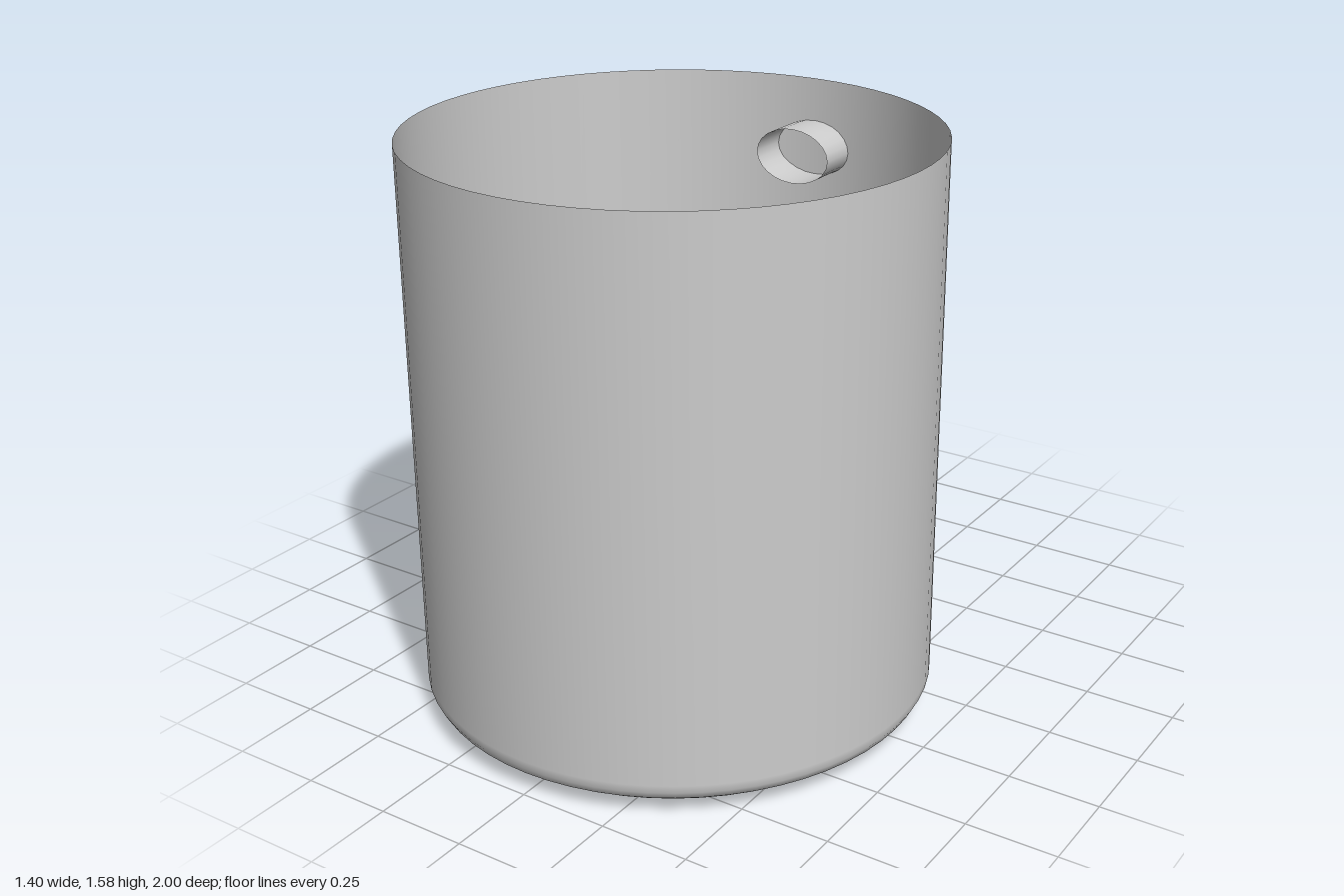
import * as THREE from 'three';

export function createModel() {
  const group = new THREE.Group();
  const ceramic = new THREE.MeshStandardMaterial({ color: 0xcccccc, side: THREE.DoubleSide });
  ceramic.name = 'greyCeramic';

  // Thin-walled cup with a softly rounded foot
  const profile = [
    [0, 0], [0.4, 0], [0.5, 0.003], [0.57, 0.011], [0.62, 0.022], [0.66, 0.038],
    [0.688, 0.058], [0.7, 0.08], [0.7, 0.1], [0.7, 1.58],
  ].map(([r, y]) => new THREE.Vector2(r, y));
  const cup = new THREE.Mesh(new THREE.LatheGeometry(profile, 64), ceramic);
  cup.name = 'cup';
  cup.position.z = 0.3;
  group.add(cup);

  // Handle path: a half circle whose straight ends run through the wall
  const radius = 0.5375, centreY = 0.845, centreZ = -0.385, endZ = -0.275;
  const path = [new THREE.Vector3(0, centreY + radius, endZ)];
  const steps = 16;
  for (let i = 0; i <= steps; i++) {
    const a = (i / steps) * Math.PI;
    path.push(new THREE.Vector3(0, centreY + radius * Math.cos(a), centreZ - radius * Math.sin(a)));
  }
  path.push(new THREE.Vector3(0, centreY - radius, endZ));

  // Open tube, widened sideways to an oval section
  const tube = new THREE.TubeGeometry(new THREE.CatmullRomCurve3(path), 40, 0.0775, 24);
  tube.scale(0.115 / 0.0775, 1, 1);
  const handle = new THREE.Mesh(tube, ceramic);
  handle.name = 'handle';
  group.add(handle);

  return group;
}
